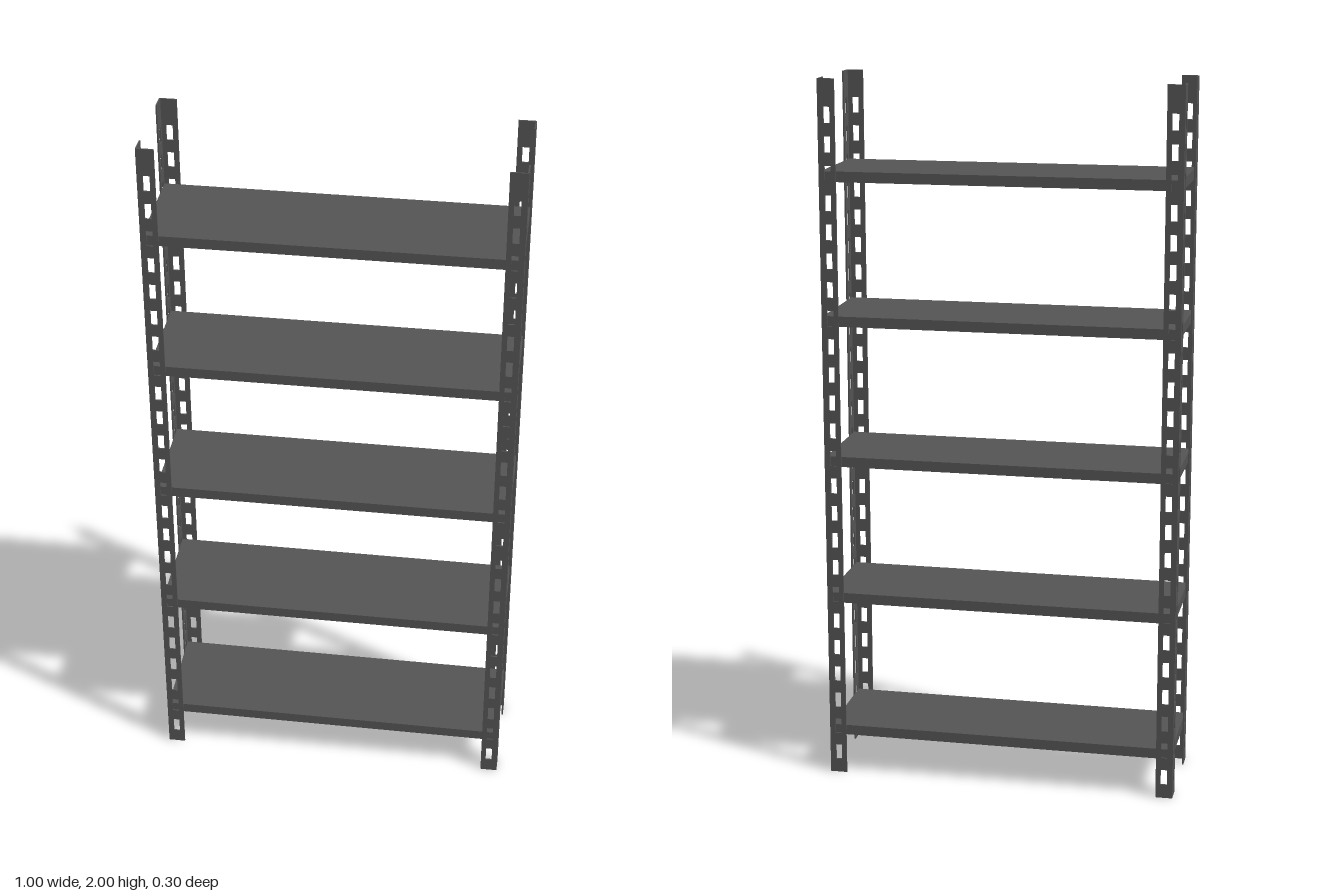
import * as THREE from 'three';

const W = 1.0, D = 0.3, H = 2.0;   // overall size
const LEG = 0.048, T = 0.004;      // angle-post flange width and sheet thickness
const material = new THREE.MeshStandardMaterial({ color: 0x555555, flatShading: true });

// Flat strip with a column of upright slots, standing on y = 0
function slottedStrip() {
  const s = new THREE.Shape();
  s.moveTo(0, 0).lineTo(LEG, 0).lineTo(LEG, H).lineTo(0, H).closePath();
  const x0 = 0.016, x1 = 0.034, pitch = 0.08, slot = 0.044;
  for (let y = 0.04; y + slot < H - 0.01; y += pitch) {
    const h = new THREE.Path();
    h.moveTo(x0, y).lineTo(x0, y + slot).lineTo(x1, y + slot).lineTo(x1, y).closePath();
    s.holes.push(h);
  }
  return new THREE.ExtrudeGeometry(s, { depth: T, bevelEnabled: false });
}

// Angle post: two slotted strips meeting at the outer corner
function makePost(strip) {
  const post = new THREE.Group();
  const a = new THREE.Mesh(strip, material);
  a.name = 'postFlangeAlongWidth';
  const b = new THREE.Mesh(strip, material);
  b.name = 'postFlangeAlongDepth';
  b.rotation.y = -Math.PI / 2;
  b.position.x = T;
  post.add(a, b);
  return post;
}

function addBox(group, name, size, pos) {
  const m = new THREE.Mesh(new THREE.BoxGeometry(...size), material);
  m.name = name;
  m.position.set(...pos);
  group.add(m);
}

// Shelf: thin deck with turned-down rims, open underneath
function makeShelf() {
  const shelf = new THREE.Group();
  const w = W - 2 * T, d = D - 2 * T, h = 0.029, t = 0.004;
  addBox(shelf, 'deck', [w, t, d], [0, -t / 2, 0]);
  for (const s of [-1, 1]) {
    addBox(shelf, s > 0 ? 'frontRim' : 'backRim', [w, h - t, t], [0, -(h + t) / 2, s * (d - t) / 2]);
    addBox(shelf, s > 0 ? 'leftRim' : 'rightRim', [t, h - t, d - 2 * t], [s * (w - t) / 2, -(h + t) / 2, 0]);
  }
  return shelf;
}

export function createModel() {
  const model = new THREE.Group();
  model.name = 'shelvingUnit';

  // Each quarter turn keeps the post's two flanges pointing inward
  const strip = slottedStrip();
  const corners = [
    ['backRightPost', -1, -1, 0],
    ['frontRightPost', -1, 1, Math.PI / 2],
    ['frontLeftPost', 1, 1, Math.PI],
    ['backLeftPost', 1, -1, -Math.PI / 2],
  ];
  for (const [name, sx, sz, turn] of corners) {
    const post = makePost(strip);
    post.name = name;
    post.position.set(sx * W / 2, 0, sz * D / 2);
    post.rotation.y = turn;
    model.add(post);
  }

  for (let i = 0; i < 5; i++) {
    const shelf = makeShelf();
    shelf.name = 'shelf' + (i + 1);
    shelf.position.y = 0.145 + i * 0.401;
    model.add(shelf);
  }
  return model;
}
